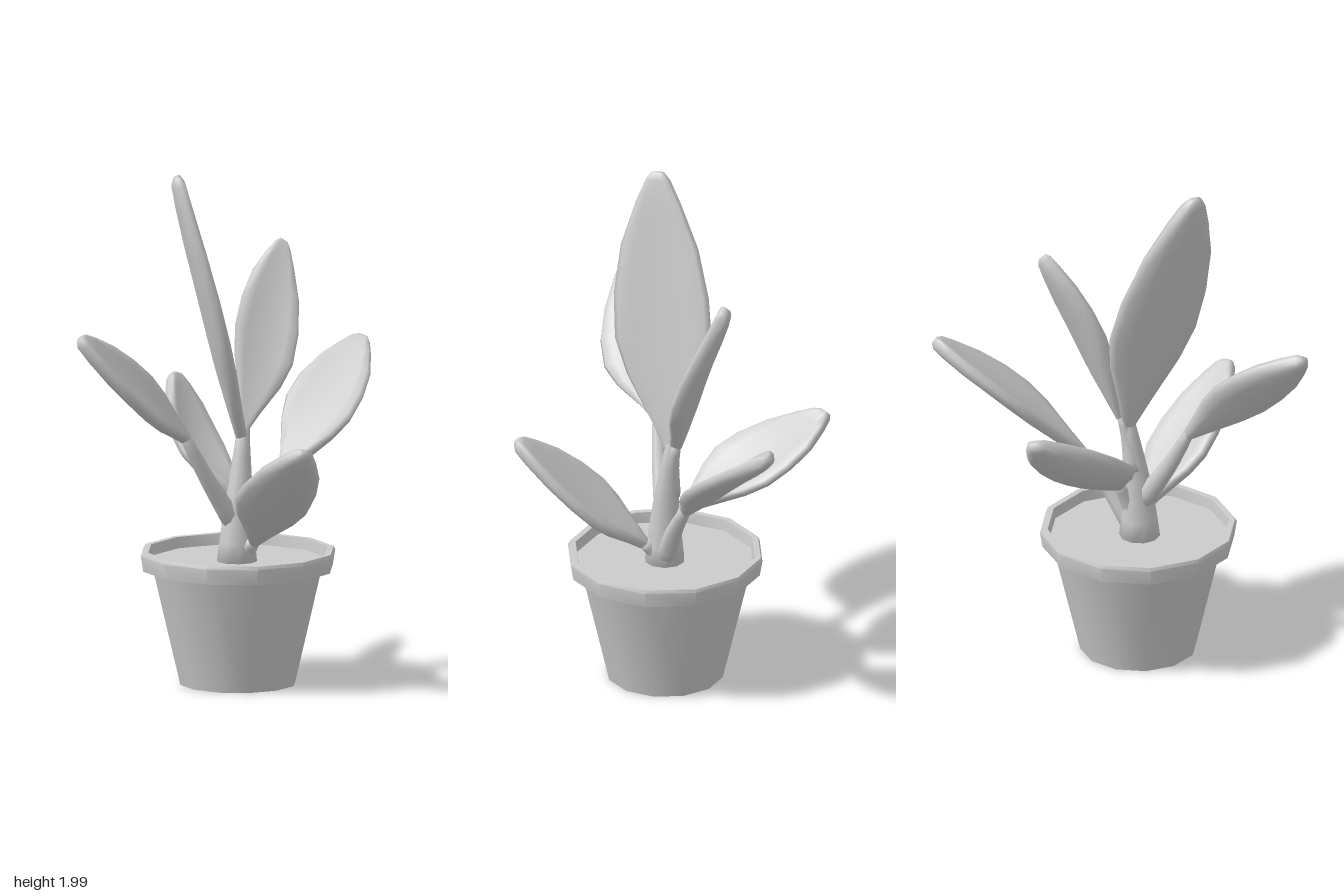
import * as THREE from 'three';
import { toCreasedNormals } from 'three/addons/utils/BufferGeometryUtils.js';

const material = new THREE.MeshStandardMaterial({ color: 0xcccccc });
const V = (a) => new THREE.Vector3(...a);

// Skin a list of closed rings (each an array of Vector3), closing both ends
function loft(rings) {
  const n = rings[0].length;
  const centre = (ring) => ring.reduce((s, p) => s.add(p), new THREE.Vector3()).divideScalar(n);
  const points = [...rings.flat(), centre(rings[0]), centre(rings.at(-1))];
  const first = points.length - 2, last = points.length - 1;
  const top = (rings.length - 1) * n;
  const index = [];
  for (let j = 0; j < n; j++) {
    const k = (j + 1) % n;
    for (let i = 0; i < rings.length - 1; i++) {
      const a = i * n + j, b = i * n + k;
      index.push(a, b, b + n, a, b + n, a + n);
    }
    index.push(first, k, j, last, top + j, top + k);
  }
  const geometry = new THREE.BufferGeometry().setFromPoints(points);
  geometry.setIndex(index);
  geometry.computeVertexNormals();
  return geometry;
}

// Blade position along its length, half width share, thickness share
const OUTLINE = [
  [0, 0.13, 0.7], [0.12, 0.38, 0.85], [0.3, 0.8, 1], [0.44, 1, 1], [0.6, 0.98, 1],
  [0.76, 0.8, 1], [0.9, 0.47, 0.95], [0.975, 0.25, 0.85], [1, 0.13, 0.45],
];

// Thick, slightly cupped blade through its base, two widest points and tip
function leafGeometry({ base, left, right, tip }) {
  const L = V(left), R = V(right);
  const half = R.clone().sub(L).multiplyScalar(0.5);
  const middle = L.clone().add(R).multiplyScalar(0.5);
  const spine = new THREE.CatmullRomCurve3([V(base), middle, V(tip)]);
  const sides = 14, thickness = 0.032, cup = 0.03;
  return loft(OUTLINE.map(([t, w, h]) => {
    const along = spine.getTangent(t);
    const up = half.clone().cross(along).normalize();
    const across = half.clone();
    if (up.y < 0) { up.negate(); across.negate(); }
    return Array.from({ length: sides }, (_, j) => {
      const a = (-j / sides) * Math.PI * 2;
      const c = Math.cos(a), s = Math.sin(a);
      const lift = Math.sign(s) * Math.sqrt(Math.abs(s)) * thickness * h + cup * w * (c * c - 0.7);
      return spine.getPoint(t).addScaledVector(across, c * w).addScaledVector(up, lift);
    });
  }));
}

// Round tapering stalk along a smooth curve
function stalkGeometry(path, r0, r1, sides = 8, steps = 6) {
  const curve = new THREE.CatmullRomCurve3(path.map(V));
  const frames = curve.computeFrenetFrames(steps);
  return loft(Array.from({ length: steps + 1 }, (_, i) => {
    const r = THREE.MathUtils.lerp(r0, r1, i / steps);
    const p = curve.getPointAt(i / steps);
    return Array.from({ length: sides }, (_, j) => {
      const a = (j / sides) * Math.PI * 2;
      return p.clone()
        .addScaledVector(frames.normals[i], Math.cos(a) * r)
        .addScaledVector(frames.binormals[i], Math.sin(a) * r);
    });
  }));
}

const LEAVES = [
  { name: 'tallLeaf', base: [0.01, 0.95, 0], left: [-0.23, 1.41, 0.15], right: [0.0, 1.44, -0.165],
    tip: [-0.285, 1.99, -0.04], root: [-0.01, 0.75, 0.01], bend: [0, 0.87, 0.01] },
  { name: 'rightLeaf', base: [-0.25, 0.97, -0.03], left: [-0.55, 1.1, 0.09], right: [-0.41, 1.24, -0.11],
    tip: [-0.75, 1.41, -0.075], root: [-0.04, 0.62, 0.01], bend: [-0.17, 0.82, -0.01] },
  { name: 'upperLeftLeaf', base: [0.03, 0.98, -0.01], left: [0.235, 1.25, 0.05], right: [0.09, 1.4, -0.12],
    tip: [0.32, 1.66, -0.11], root: [-0.01, 0.76, 0], bend: [0.01, 0.89, 0] },
  { name: 'lowerLeftLeaf', base: [0.21, 0.79, 0.01], left: [0.51, 1.0, 0.095], right: [0.44, 1.06, -0.2],
    tip: [0.755, 1.23, -0.14], root: [0.0, 0.5, 0.02], bend: [0.1, 0.65, 0.02] },
  { name: 'frontLeaf', base: [-0.02, 0.56, 0.1], left: [-0.23, 0.78, 0.24], right: [0.055, 0.72, 0.35],
    tip: [-0.17, 0.99, 0.565], root: [-0.03, 0.47, 0.02], bend: [-0.025, 0.52, 0.06] },
  { name: 'backLeaf', base: [0.03, 0.71, -0.05], left: [-0.1, 0.9, -0.25], right: [0.205, 0.86, -0.36],
    tip: [0.16, 1.1, -0.57], root: [-0.02, 0.55, 0.01], bend: [0.01, 0.64, -0.02] },
];

export function createModel() {
  const model = new THREE.Group();
  model.name = 'pottedPlant';
  const add = (parent, name, geometry) => {
    const mesh = new THREE.Mesh(geometry, material);
    mesh.name = name;
    parent.add(mesh);
    return mesh;
  };

  // Twelve-sided pot with a stepped rim, closed underneath
  const profile = [
    [0, 0], [0.225, 0], [0.33, 0.445], [0.37, 0.445], [0.38, 0.505],
    [0.374, 0.518], [0.35, 0.518], [0.342, 0.46],
  ].map(([x, y]) => new THREE.Vector2(x, y));
  const pot = add(model, 'pot', toCreasedNormals(new THREE.LatheGeometry(profile, 12), 0.7));
  pot.position.set(-0.025, 0, 0.015);

  // Soil just below the rim, its corners turned to match the pot
  const soil = add(model, 'soil', new THREE.CircleGeometry(0.344, 12).rotateX(-Math.PI / 2));
  soil.position.set(-0.025, 0.475, 0.015);

  // Main stem
  add(model, 'stem', stalkGeometry(
    [[-0.03, 0.46, 0.015], [-0.025, 0.62, 0.015], [-0.005, 0.82, 0.01], [0.015, 0.98, 0]], 0.08, 0.024, 10));

  // Leaves, each with its stalk
  for (const spec of LEAVES) {
    const leaf = new THREE.Group();
    leaf.name = spec.name;
    add(leaf, 'leafStalk', stalkGeometry([spec.root, spec.bend, spec.base], 0.042, 0.022));
    add(leaf, 'leafBlade', leafGeometry(spec));
    model.add(leaf);
  }
  return model;
}
